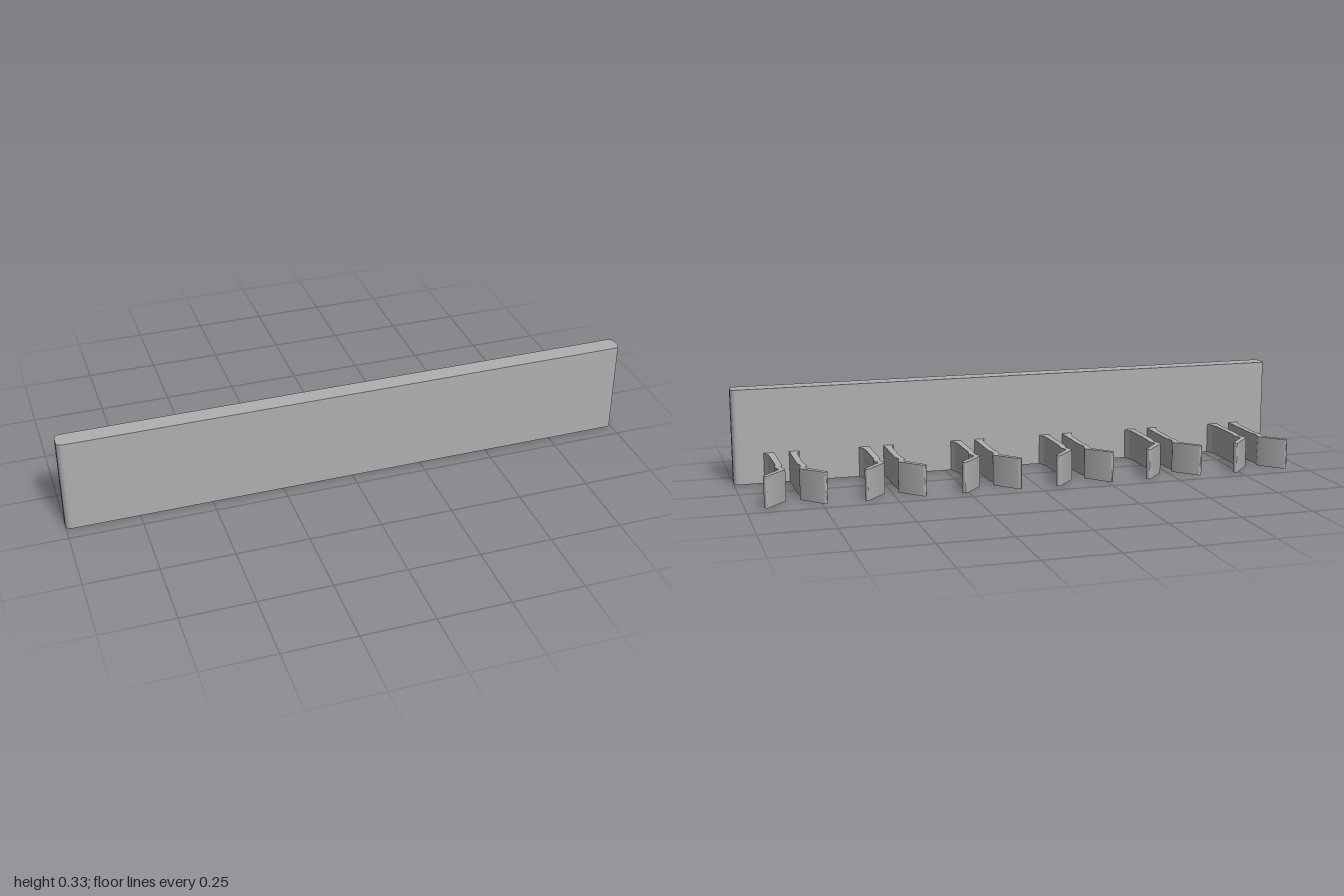
import * as THREE from 'three';
import { toCreasedNormals } from 'three/addons/utils/BufferGeometryUtils.js';

// Closed shape from [x, z, cornerRadius] points, each corner softened by its radius
function roundedShape(points) {
  const shape = new THREE.Shape();
  const n = points.length;
  const vec = (p) => new THREE.Vector2(p[0], -p[1]);
  points.forEach((p, i) => {
    const c = vec(p);
    const before = vec(points[(i + n - 1) % n]).sub(c).setLength(p[2]).add(c);
    const after = vec(points[(i + 1) % n]).sub(c).setLength(p[2]).add(c);
    if (i === 0) shape.moveTo(before.x, before.y);
    else shape.lineTo(before.x, before.y);
    if (p[2] > 0) shape.quadraticCurveTo(c.x, c.y, after.x, after.y);
  });
  shape.closePath();
  return shape;
}

// Plan outline raised straight up from y = 0
function raise(points, height) {
  const geometry = new THREE.ExtrudeGeometry(roundedShape(points), {
    depth: height, bevelEnabled: false, curveSegments: 6,
  });
  geometry.rotateX(-Math.PI / 2);
  return toCreasedNormals(geometry, 0.6);
}

export function createModel() {
  const model = new THREE.Group();
  model.name = 'clipRail';
  const grey = new THREE.MeshStandardMaterial({ color: 0xb0b0b0 });
  grey.name = 'grey plastic';

  // Tall back plate with rounded vertical edges
  const plate = new THREE.Mesh(raise([
    [-1, 0.2, 0.022], [1, 0.2, 0.022], [1, 0.135, 0.022], [-1, 0.135, 0.022],
  ], 0.333), grey);
  plate.name = 'backPlate';
  model.add(plate);

  // Springy arm: flared root, straight shank, bulge, pinch and splayed tip
  const arm = [
    [0.063, 0.137, 0], [0.049, 0.1, 0.02], [0.047, -0.05, 0.012],
    [0.054, -0.084, 0.012], [0.043, -0.117, 0.008],
    [0.107, -0.191, 0.007], [0.096, -0.204, 0.007],
    [0.021, -0.122, 0.01], [0.034, -0.084, 0.012],
    [0.026, -0.055, 0.012], [0.026, 0.137, 0],
  ];
  const arms = [1, -1].map((s) => raise(arm.map(([x, z, r]) => [s * x, z, r]), 0.107));

  // Row of six clips, each a mirrored pair of arms
  for (let i = 0; i < 6; i++) {
    const clip = new THREE.Group();
    clip.name = `clip${i + 1}`;
    clip.position.x = (i - 2.5) / 3;
    arms.forEach((geometry, k) => {
      const mesh = new THREE.Mesh(geometry, grey);
      mesh.name = k === 0 ? 'leftArm' : 'rightArm';
      clip.add(mesh);
    });
    model.add(clip);
  }
  return model;
}
